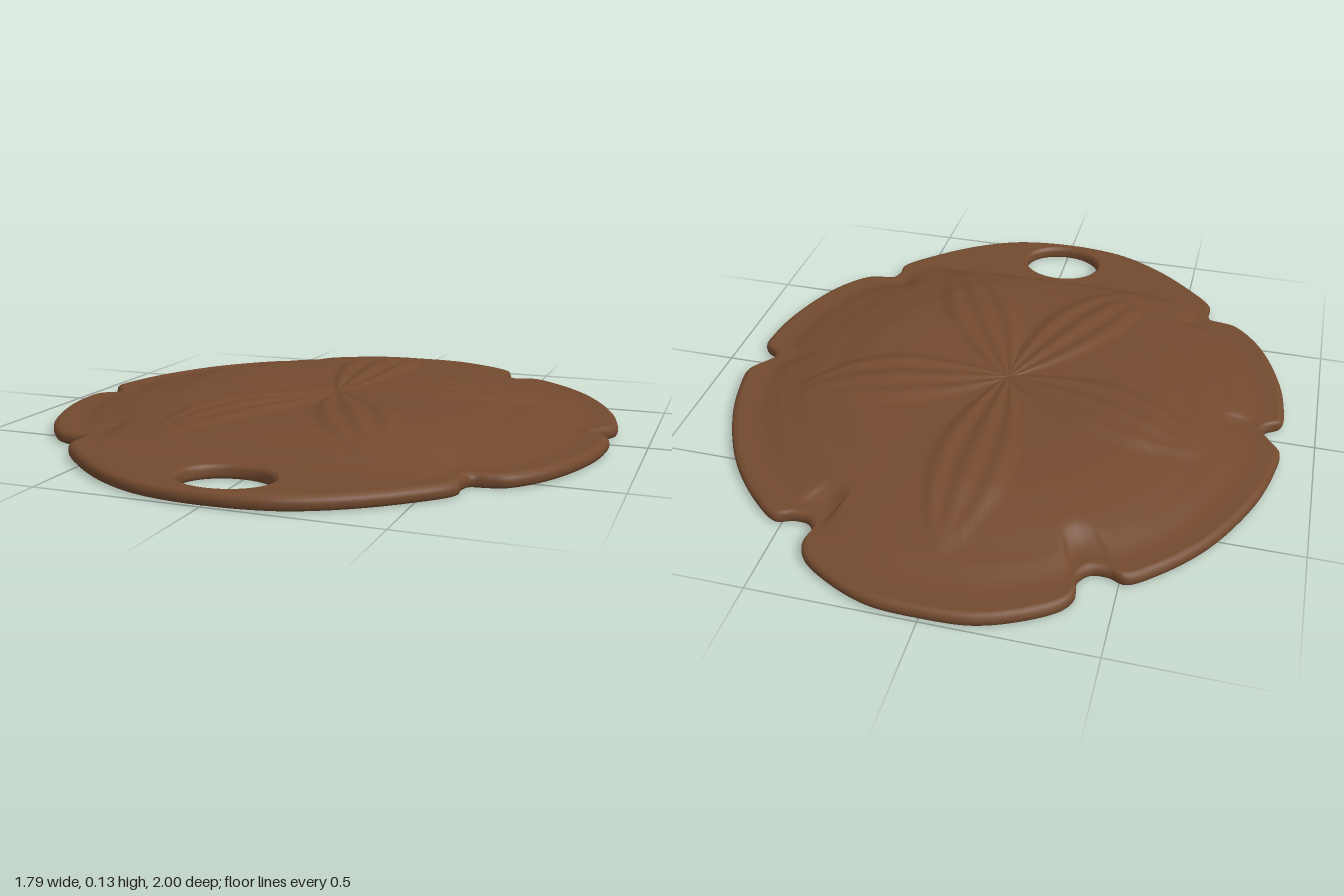
import * as THREE from 'three';

const SEG = 360, RIM_Y = 0.042;

// Half of the notched outline (x, z), back to front; mirrored to close it
const HALF = [[0, -0.995], [0.15, -0.985], [0.28, -0.935], [0.37, -0.875], [0.395, -0.83], [0.39, -0.77],
  [0.42, -0.73], [0.47, -0.725], [0.52, -0.74], [0.6, -0.685], [0.73, -0.54], [0.84, -0.33], [0.885, -0.17],
  [0.893, -0.09], [0.86, -0.04], [0.835, 0], [0.85, 0.03], [0.89, 0.06], [0.893, 0.13], [0.87, 0.27],
  [0.79, 0.47], [0.7, 0.575], [0.65, 0.59], [0.605, 0.6], [0.59, 0.64], [0.59, 0.69], [0.5, 0.79],
  [0.36, 0.9], [0.22, 0.97], [0.1, 0.995], [0, 1]];

// Petals: direction in degrees (0 = +x, 90 = front), length, half width
const PETALS = [[-90, 0.8, 0.135], [-17, 0.7, 0.14], [-163, 0.7, 0.14], [62, 0.74, 0.13], [118, 0.74, 0.13]];

const smooth = THREE.MathUtils.smoothstep;

function outlineLoop() {
  const mirrored = HALF.slice(1, -1).reverse().map(([x, z]) => [-x, z]);
  const pts = [...HALF, ...mirrored].map(([x, z]) => new THREE.Vector3(x, 0, z));
  return new THREE.CatmullRomCurve3(pts, true).getPoints(SEG).slice(0, SEG)
    .map(p => new THREE.Vector2(p.x, p.z));
}

// Height profile of the shell by elliptical radius
const PROFILE = [[0, 0.099], [0.2, 0.104], [0.4, 0.111], [0.55, 0.105], [0.7, 0.084], [0.82, 0.062], [0.95, 0.042], [2, 0.042]];
function baseHeight(q) {
  const i = Math.max(1, PROFILE.findIndex(p => q < p[0]));
  const [a, b] = [PROFILE[i - 1], PROFILE[i]];
  return THREE.MathUtils.lerp(a[1], b[1], smooth(q, a[0], b[0]) * 0.4 + 0.6 * (q - a[0]) / (b[0] - a[0]));
}

// Three long ridges inside each leaf-shaped petal
function petalHeight(x, z) {
  let h = 0;
  for (const [deg, len, half] of PETALS) {
    const a = THREE.MathUtils.degToRad(deg);
    const s = (x * Math.cos(a) + z * Math.sin(a)) / len;
    if (s <= 0 || s >= 1) continue;
    const env = Math.sin(Math.PI * Math.pow(s, 1.15));
    const v = (z * Math.cos(a) - x * Math.sin(a)) / (half * Math.pow(env, 0.75) + 0.004);
    if (Math.abs(v) >= 1) continue;
    const ridges = 0.5 + 0.5 * Math.cos(3 * Math.PI * v);
    h = Math.max(h, 0.015 * Math.sqrt(env) * (1 - v ** 4) * (0.4 + 0.6 * ridges));
  }
  return h;
}

// Smooth surface through closed rows of [x, y, z] points
function loft(rows) {
  const n = rows[0].length, index = [];
  for (let i = 0; i < rows.length - 1; i++) {
    for (let j = 0; j < n; j++) {
      const a = i * n + j, b = i * n + (j + 1) % n, c = a + n, d = b + n;
      index.push(a, b, c, b, d, c);
    }
  }
  const g = new THREE.BufferGeometry();
  g.setAttribute('position', new THREE.Float32BufferAttribute(rows.flat(2), 3));
  g.setIndex(index);
  g.computeVertexNormals();
  return g;
}

// Flat horizontal plate with holes; side is 1 facing down, -1 facing up
function plate(outer, holes, y, side) {
  const flip = loop => loop.map(p => new THREE.Vector2(p.x, side * p.y));
  const shape = new THREE.Shape(flip(outer));
  shape.holes = holes.map(h => new THREE.Path(flip(h)));
  return new THREE.ShapeGeometry(shape).rotateX(side * Math.PI / 2).translate(0, y, 0);
}

export function createModel() {
  const group = new THREE.Group();
  const brown = new THREE.MeshStandardMaterial({ color: 0x734a2f });
  brown.name = 'warm brown';
  const add = (name, geometry) => {
    const mesh = new THREE.Mesh(geometry, brown);
    mesh.name = name;
    group.add(mesh);
  };

  const outline = outlineLoop();
  const inset = d => outline.map(p => p.clone().setLength(p.length() - d));
  const lift = (loop, y) => loop.map(p => [p.x, y, p.y]);

  // Dome boundary stops short of the edge and of the slot
  const domeEdge = outline.map(p => {
    const dir = p.clone().normalize();
    const limit = dir.y > 0.05 ? 0.72 / dir.y : 9;
    return dir.multiplyScalar(Math.min(p.length() - 0.05, limit));
  });
  const cavityEdge = outline.map(p => {
    const a = Math.atan2(p.y, p.x);
    const r = 1 + 0.025 * Math.sin(3 * a + 0.6);
    return new THREE.Vector2(0.63 * r * Math.cos(a), 0.67 * r * Math.sin(a));
  });
  const slot = d => Array.from({ length: 64 }, (_, i) => {
    const a = -Math.PI / 2 + i / 64 * Math.PI * 2;
    return new THREE.Vector2((0.135 + d) * Math.cos(a), 0.85 + (0.105 + d) * Math.sin(a));
  });

  // Domed top with petals
  const domeRows = [];
  for (let i = 0; i <= 72; i++) {
    const t = i / 72;
    domeRows.push(domeEdge.map(p => {
      const x = p.x * t, z = p.y * t;
      const h = baseHeight(Math.hypot(x / 0.89, z / 0.98)) + petalHeight(x, z) - RIM_Y;
      return [x, RIM_Y + h * (1 - smooth(t, 0.86, 1)), z];
    }));
  }
  add('petalDome', loft(domeRows));

  // Hollow underside
  const cavityRows = [];
  for (let i = 0; i <= 24; i++) {
    const t = 1 - i / 24;
    const y = 0.045 * (1 - smooth(t, 0.72, 1)) + 0.03 * (1 - smooth(t, 0, 0.95));
    cavityRows.push(lift(cavityEdge.map(p => p.clone().multiplyScalar(t)), y));
  }
  add('hollowUnderside', loft(cavityRows));

  // Flat border, above and below
  add('topBorder', plate(inset(0.02), [domeEdge, slot(0.012)], RIM_Y, -1));
  add('bottomBorder', plate(inset(0.014), [cavityEdge, slot(0.008)], 0, 1));

  // Rounded outer edge and slot wall
  const edge = [[0.02, RIM_Y], [0.009, 0.039], [0.002, 0.032], [0, 0.022], [0.001, 0.012], [0.005, 0.004], [0.014, 0]];
  add('outerEdge', loft(edge.map(([d, y]) => lift(inset(d), y))));
  const wall = [[0.008, 0], [0.002, 0.004], [0, 0.012], [0, 0.028], [0.004, 0.037], [0.012, RIM_Y]];
  add('slotWall', loft(wall.map(([d, y]) => lift(slot(d), y))));

  return group;
}
